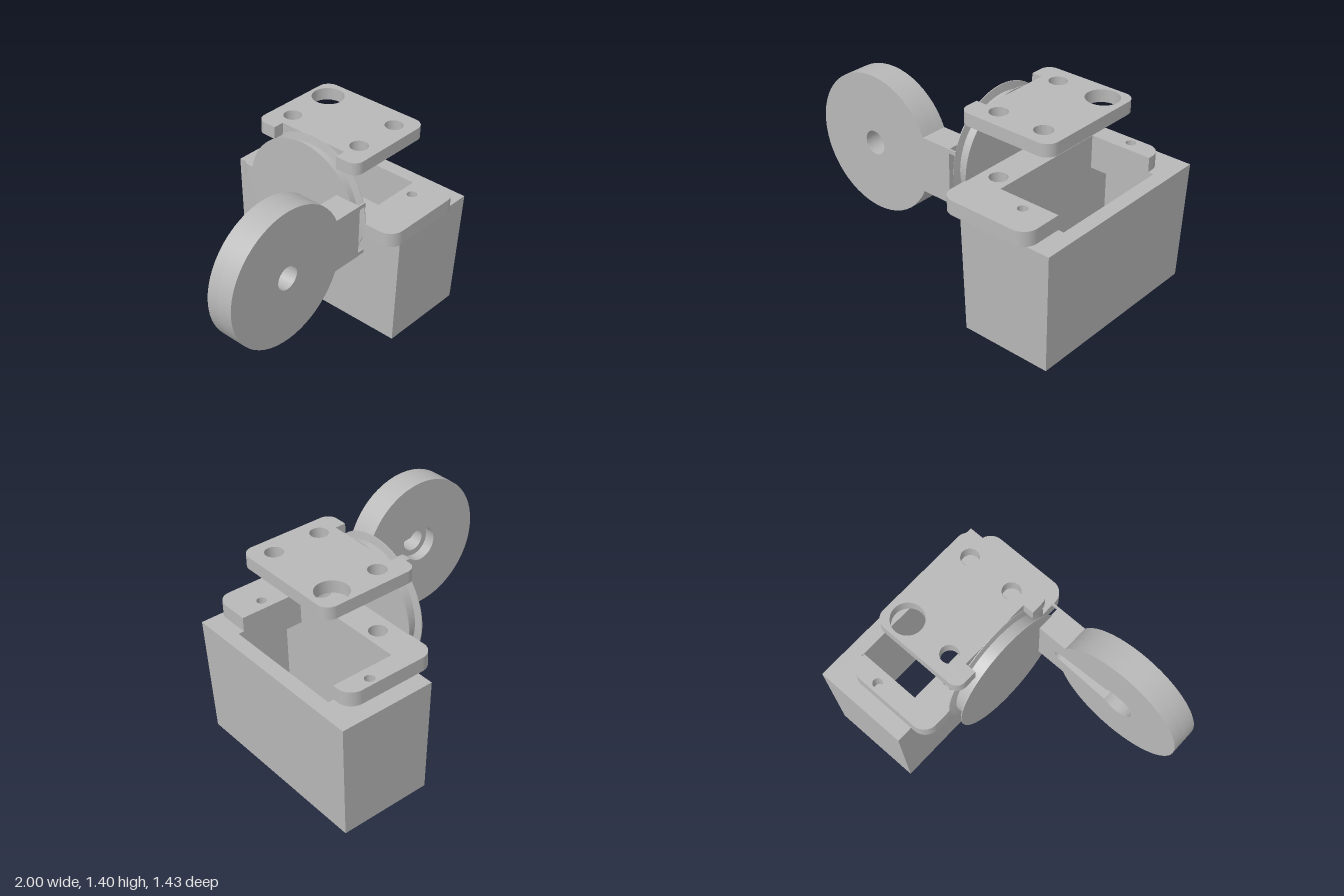
import * as THREE from 'three';
import { toCreasedNormals } from 'three/addons/utils/BufferGeometryUtils.js';

const grey = new THREE.MeshStandardMaterial({ color: 0xb8b8b8 });
grey.name = 'plain grey';

function part(name, geometry) {
  const mesh = new THREE.Mesh(toCreasedNormals(geometry, 0.5), grey);
  mesh.name = name;
  return mesh;
}

function hole(shape, x, y, r) {
  shape.holes.push(new THREE.Path().absarc(x, y, r, 0, Math.PI * 2, true));
}

// Outline with rounded corners; each point is [x, y, radius]
function roundedShape(points) {
  const shape = new THREE.Shape();
  const n = points.length;
  const v = points.map(p => new THREE.Vector2(p[0], p[1]));
  points.forEach(([x, y, r], i) => {
    const a = v[i].clone().add(v[(i + n - 1) % n].clone().sub(v[i]).setLength(r));
    const b = v[i].clone().add(v[(i + 1) % n].clone().sub(v[i]).setLength(r));
    if (i === 0) shape.moveTo(a.x, a.y); else shape.lineTo(a.x, a.y);
    if (r > 0) {
      // near-circular corner
      const k = 0.5523;
      const c1 = a.clone().lerp(v[i], k), c2 = b.clone().lerp(v[i], k);
      shape.bezierCurveTo(c1.x, c1.y, c2.x, c2.y, b.x, b.y);
    }
  });
  shape.closePath();
  return shape;
}

function extrude(shape, depth) {
  return new THREE.ExtrudeGeometry(shape, { depth, bevelEnabled: false, curveSegments: 24 });
}

// Horizontal plate: shape y becomes -z
function plate(name, shape, y, thickness) {
  return part(name, extrude(shape, thickness).rotateX(-Math.PI / 2).translate(0, y, 0));
}

// Tapered tray walls from a closed loop of rectangles [x0, x1, z0, z1, y]
function ringLoop(rings) {
  const pos = [];
  const corners = ([x0, x1, z0, z1, y]) => [[x1, y, z1], [x1, y, z0], [x0, y, z0], [x0, y, z1]];
  rings.forEach((ring, i) => {
    const lo = corners(ring), hi = corners(rings[(i + 1) % rings.length]);
    for (let k = 0; k < 4; k++) {
      const m = (k + 1) % 4;
      pos.push(...lo[k], ...lo[m], ...hi[m], ...lo[k], ...hi[m], ...hi[k]);
    }
  });
  const g = new THREE.BufferGeometry();
  g.setAttribute('position', new THREE.Float32BufferAttribute(pos, 3));
  g.computeVertexNormals();
  return g;
}

export function createModel() {
  const model = new THREE.Group();
  model.name = 'pulleyBracket';

  // Hollow tapered housing with a thick lip around its top opening
  model.add(part('housing', ringLoop([
    [0.345, 0.98, -0.685, 0.655, 0],
    [0.33, 1.0, -0.715, 0.68, 0.825],
    [0.42, 0.9, -0.46, 0.425, 0.825],
    [0.42, 0.9, -0.46, 0.425, 0.69],
    [0.42, 0.9, -0.63, 0.595, 0.69],
    [0.42, 0.9, -0.63, 0.595, 0],
  ])));

  // C-shaped mounting plate
  const mount = roundedShape([
    [0.2, -0.715, 0.1], [0.86, -0.715, 0.1], [0.86, -0.425, 0], [0.42, -0.425, 0],
    [0.42, 0.46, 0], [0.86, 0.46, 0], [0.86, 0.6, 0.1], [0.2, 0.6, 0.1],
  ]);
  hole(mount, 0.66, 0.545, 0.033);
  hole(mount, 0.66, -0.505, 0.033);
  hole(mount, 0.32, -0.33, 0.06);
  hole(mount, 0.32, 0.22, 0.06);
  model.add(plate('mountingPlate', mount, 0.825, 0.1));

  // Upper plate, notched to clear the pulley
  const upper = roundedShape([
    [0.13, -0.465, 0.07], [0.81, -0.465, 0.08], [0.81, 0.355, 0.08], [0.13, 0.355, 0.07],
    [0.13, 0.2, 0], [0.205, 0.2, 0], [0.205, -0.31, 0], [0.13, -0.31, 0],
  ]);
  for (const [x, y, r] of [[0.32, 0.22, 0.06], [0.32, -0.33, 0.06], [0.66, -0.33, 0.06], [0.66, 0.22, 0.108]]) {
    hole(upper, x, y, r);
  }
  model.add(plate('upperPlate', upper, 1.28, 0.085));

  // Grooved pulley with its axis along x
  const profile = [
    [0, 0], [0.437, 0], [0.437, 0.006], [0.385, 0.014],
    [0.385, 0.091], [0.437, 0.101], [0.437, 0.107], [0, 0.107],
  ].map(([r, h]) => new THREE.Vector2(r, h));
  model.add(part('pulley', new THREE.LatheGeometry(profile, 80)
    .rotateZ(-Math.PI / 2).translate(0.1, 0.937, 0.06)));

  // Round paddle and arm: a front layer and a recessed back layer
  const cx = -0.535, cy = 0.932, R = 0.465, half = 0.187;
  const spread = Math.asin(half / R);
  const paddleShape = () => {
    const s = new THREE.Shape();
    s.moveTo(0.105, cy - half);
    s.lineTo(0.105, cy + half);
    s.absarc(cx, cy, R, spread, Math.PI * 2 - spread, false);
    s.closePath();
    return s;
  };
  const front = paddleShape();
  hole(front, cx, cy, 0.08);
  const back = paddleShape();
  const slot = new THREE.Path();
  slot.absarc(cx, cy, 0.12, 0.75, Math.PI * 2 - 0.75, false);
  slot.absarc(-0.08, cy, 0.045, -Math.PI / 2, Math.PI / 2, false);
  slot.closePath();
  back.holes.push(slot);
  const paddle = new THREE.Group();
  paddle.name = 'paddleArm';
  paddle.add(part('paddleFront', extrude(front, 0.11).translate(0, 0, 0.42)));
  paddle.add(part('paddleBack', extrude(back, 0.075).translate(0, 0, 0.345)));

  // Thin tongues at the arm end
  for (const side of [-1, 1]) {
    paddle.add(part('armTongue', new THREE.BoxGeometry(0.055, 0.028, 0.01)
      .translate(0.13, cy + side * (half - 0.014), 0.525)));
  }
  model.add(paddle);
  return model;
}
